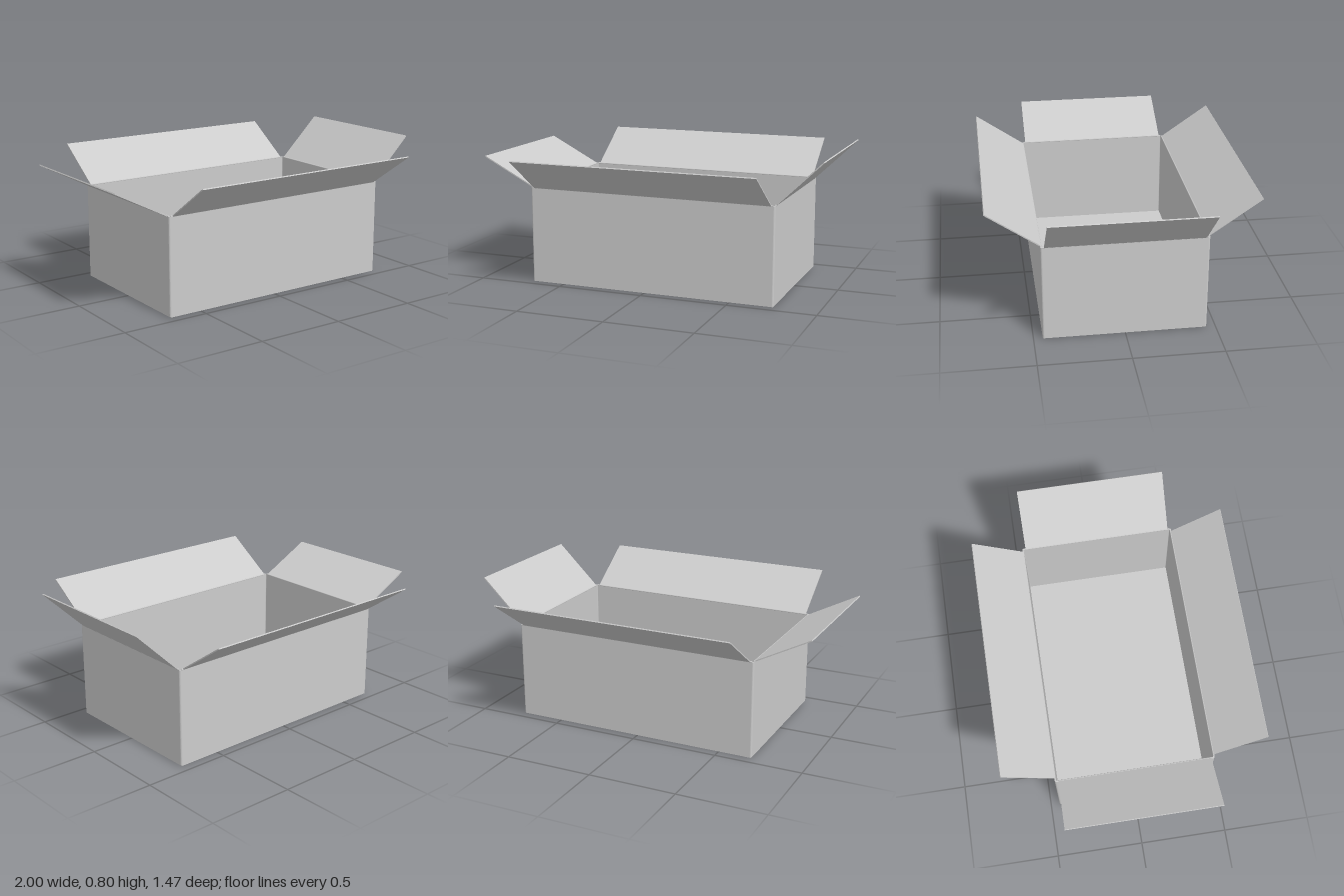
import * as THREE from 'three';

const T = 0.008;            // board thickness
const CX = 0.028;           // body centre in x
const HX = 0.722, HZ = 0.45, H = 0.553;

export function createModel() {
  const model = new THREE.Group();
  model.name = 'openCarton';
  const material = new THREE.MeshStandardMaterial({ color: 0xcccccc });

  const add = (parent, name, geometry, x = 0, y = 0, z = 0) => {
    const mesh = new THREE.Mesh(geometry, material);
    mesh.name = name;
    mesh.position.set(x, y, z);
    parent.add(mesh);
    return mesh;
  };

  // Rounded rectangle outline
  const outline = (path, hx, hz, r) => {
    path.absarc(hx - r, hz - r, r, 0, Math.PI / 2);
    path.absarc(-hx + r, hz - r, r, Math.PI / 2, Math.PI);
    path.absarc(-hx + r, -hz + r, r, Math.PI, Math.PI * 1.5);
    path.absarc(hx - r, -hz + r, r, Math.PI * 1.5, Math.PI * 2);
    path.closePath();
    return path;
  };

  // Four walls as one folded ring
  const ring = outline(new THREE.Shape(), HX, HZ, 0.01);
  ring.holes.push(outline(new THREE.Path(), HX - T, HZ - T, 0.004));
  const walls = new THREE.ExtrudeGeometry(ring, { depth: H - 0.004, bevelEnabled: false, curveSegments: 4 });
  walls.rotateX(-Math.PI / 2);
  add(model, 'walls', walls, CX, 0.004, 0);

  // Two outer bottom flaps meeting at a narrow seam, with the floor above
  const gap = 0.004, depth = HZ - 0.004 - gap / 2;
  for (const s of [1, -1]) {
    add(model, s > 0 ? 'frontBottomFlap' : 'backBottomFlap',
      new THREE.BoxGeometry(2 * HX - 0.008, T, depth), CX, T / 2, s * (gap + depth) / 2);
  }
  add(model, 'floor', new THREE.BoxGeometry(2 * (HX - T), T, 2 * (HZ - T)), CX, T * 1.5, 0);

  // Open top flaps: hinge position, heading about y, width, outward reach and rise
  const flaps = [
    ['leftFlap', CX + HX - T / 2, 0, 0, 0.86, 0.254, 0.245],
    ['backFlap', CX, -HZ + T / 2, Math.PI / 2, 1.4, 0.285, 0.197],
    ['rightFlap', CX - HX + T / 2, 0, Math.PI, 0.86, 0.308, 0.16],
    ['frontFlap', CX, HZ - T / 2, -Math.PI / 2, 1.4, 0.285, 0.197],
  ];
  for (const [name, x, z, heading, width, reach, rise] of flaps) {
    const flap = new THREE.Group();
    flap.name = name;
    flap.position.set(x, H, z);
    flap.rotation.y = heading;
    const length = Math.hypot(reach, rise);
    const panel = new THREE.BoxGeometry(length, T * 0.8, width);
    panel.translate(length / 2, 0, 0);
    add(flap, 'panel', panel).rotation.z = Math.atan2(rise, reach);
    // Rounded fold along the wall's top edge
    const fold = new THREE.CylinderGeometry(T * 0.6, T * 0.6, width + 0.02, 10);
    fold.rotateX(Math.PI / 2);
    add(flap, 'fold', fold);
    model.add(flap);
  }
  return model;
}
